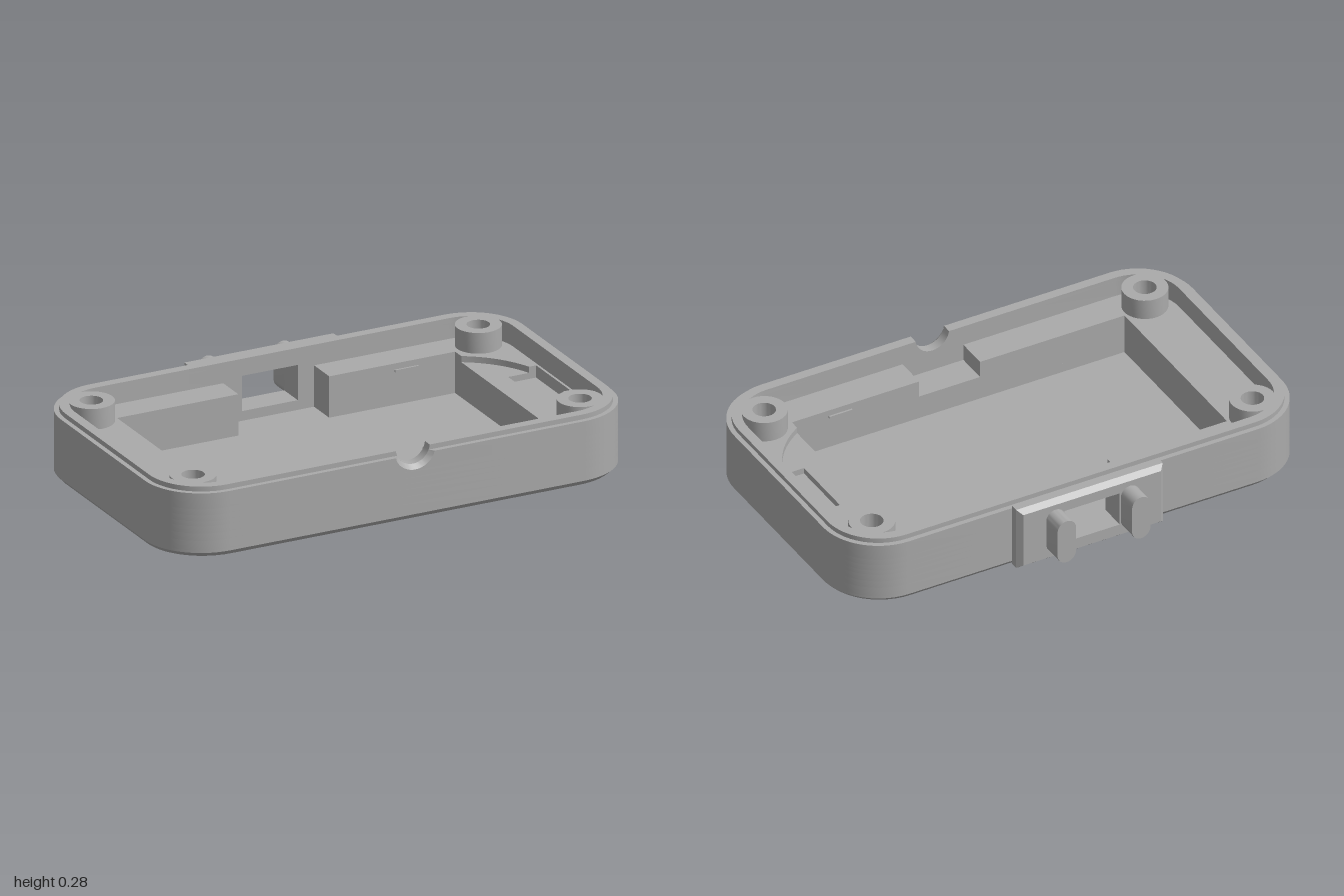
import * as THREE from 'three';
import { toCreasedNormals } from 'three/addons/utils/BufferGeometryUtils.js';

const V = (x, y) => new THREE.Vector2(x, y);
const BACK = -0.52, FRONT = 0.655, RADIUS = 0.24, WALL = 0.06;
const LEDGE = 0.2, SHOULDER = 0.265, TOP = 0.285;
const WIN = { l: -0.13, r: 0.11, y0: 0.07, y1: 0.215 };
const GROOVE = { x: 0.035, y: 0.293, half: 0.11 };
const SCREWS = [[-0.83, -0.355], [0.83, -0.355], [0.83, 0.485], [-0.83, 0.485]];

function arc(cx, cy, r, a0, a1, n = 14) {
  return Array.from({ length: n + 1 }, (_, i) => {
    const a = a0 + (a1 - a0) * i / n;
    return V(cx + r * Math.cos(a), cy + r * Math.sin(a));
  });
}
const circle = (x, y, r) => arc(x, y, r, 0, Math.PI * 2, 32).slice(0, -1);
const rect = (x0, y0, x1, y1) => [V(x0, y0), V(x1, y0), V(x1, y1), V(x0, y1)];

// One side of the rounded outline, from the back middle to the front middle
function halfOutline(side, inset) {
  const r = RADIUS - inset, x = 1 - RADIUS, q = Math.PI / 2;
  return [...arc(x, BACK + RADIUS, r, -q, 0), ...arc(x, FRONT - RADIUS, r, 0, q)]
    .map(p => V(p.x * side, p.y));
}

export function createModel() {
  const group = new THREE.Group();
  const grey = new THREE.MeshStandardMaterial({ color: 0xaaaaaa });

  function add(name, geometry) {
    const mesh = new THREE.Mesh(toCreasedNormals(geometry, 0.5), grey);
    mesh.name = name;
    group.add(mesh);
    return mesh;
  }
  function extrude(points, holes, depth) {
    const shape = new THREE.Shape(points);
    shape.holes = holes.map(h => new THREE.Path(h));
    return new THREE.ExtrudeGeometry(shape, { depth, bevelEnabled: false, steps: 1 });
  }
  // Horizontal slab: the outline lies in x and z
  const slab = (points, holes, y0, y1) =>
    extrude(points, holes, y1 - y0).rotateX(Math.PI / 2).translate(0, y1, 0);
  const block = (name, x0, x1, y0, y1, z0, z1) => add(name,
    new THREE.BoxGeometry(x1 - x0, y1 - y0, z1 - z0)
      .translate((x0 + x1) / 2, (y0 + y1) / 2, (z0 + z1) / 2));
  function moveVertices(geometry, rule) {
    const p = geometry.attributes.position, v = new THREE.Vector3();
    for (let i = 0; i < p.count; i++) {
      rule(v.fromBufferAttribute(p, i));
      p.setXYZ(i, v.x, v.y, v.z);
    }
    return geometry;
  }

  // Battery pocket outline, running from one window edge round to the other
  function pocket(y) {
    const pts = [V(WIN.r, -0.46), V(0.18, -0.46), V(0.18, -0.335), V(0.72, -0.335)];
    if (y > 0.175) {
      pts.push(...arc(0.514, 0.07, 0.41, -1.044, -0.349), V(0.93, -0.07), V(0.93, 0.21),
        ...arc(0.514, 0.07, 0.41, 0.349, 1.044));
    }
    pts.push(V(0.72, 0.465));
    if (y > 0.13) pts.push(V(0.165, 0.465), V(0.165, 0.595), V(-0.1, 0.595), V(-0.1, 0.465));
    pts.push(V(-0.73, 0.465), V(-0.73, -0.335), V(-0.21, -0.335), V(-0.21, -0.46), V(WIN.l, -0.46));
    return pts;
  }

  // Lower body, stacked in slabs between the heights where cut-outs change
  const levels = [0, 0.02, 0.03, WIN.y0, 0.1, 0.13, 0.15, 0.175, LEDGE];
  for (let i = 0; i < levels.length - 1; i++) {
    const y0 = levels[i], y1 = levels[i + 1], y = (y0 + y1) / 2;
    const outline = [V(WIN.r, BACK), ...halfOutline(1, 0), ...halfOutline(-1, 0).reverse(), V(WIN.l, BACK)];
    const holes = SCREWS.map(([x, z]) => circle(x, z, y < 0.1 ? 0.075 : 0.045));
    if (y < 0.15) {
      for (const x of [-0.825, 0.825]) for (const z of [-0.165, 0.295])
        holes.push(rect(x - 0.082, z - 0.082, x + 0.082, z + 0.082));
    }
    if (y > 0.15 && y < 0.175) holes.push(rect(0.81, -0.07, 0.93, 0.21));
    if (y > WIN.y0) outline.push(...pocket(y).reverse());
    else if (y > 0.03) holes.push(pocket(y));
    const geometry = slab(outline, holes, y0, y1);
    if (i === 0) {
      // Chamfer the bottom edge, leaving the holes alone
      moveVertices(geometry, v => {
        const cz = (BACK + FRONT) / 2;
        const dx = Math.max(Math.abs(v.x) - (1 - RADIUS), 0);
        const dz = Math.max(Math.abs(v.z - cz) - ((FRONT - BACK) / 2 - RADIUS), 0);
        if (v.y < 0.001 && Math.hypot(dx, dz) > RADIUS - 0.01) {
          v.x *= 0.983;
          v.z = cz + (v.z - cz) * 0.971;
        }
      });
    }
    add('bodyLayer', geometry);
  }

  // Upper wall and the narrower lip, as two half rings
  for (const side of [1, -1]) {
    const xb = side > 0 ? WIN.r : WIN.l, xf = GROOVE.x + side * GROOVE.half;
    for (const [name, inset, y0, y1] of [['upperWall', 0, LEDGE, SHOULDER], ['lip', 0.02, SHOULDER, TOP]]) {
      const ring = [V(xb, BACK + inset), ...halfOutline(side, inset), V(xf, FRONT - inset),
        V(xf, FRONT - WALL), ...halfOutline(side, WALL).reverse(), V(xb, BACK + WALL)];
      add(name, slab(ring, [], y0, y1));
    }
  }
  block('windowLintel', WIN.l, WIN.r, WIN.y1, SHOULDER, BACK, BACK + WALL);
  block('lintelLip', WIN.l, WIN.r, SHOULDER, TOP, BACK + 0.02, BACK + WALL);

  // Front wall section with a half-round cable groove, flared outside
  function groove(name, top, z0, z1, flare) {
    const r = 0.073, { x, y, half } = GROOVE;
    const a = Math.asin((y - top) / r);
    const pts = [V(x - half, LEDGE), V(x + half, LEDGE), V(x + half, top),
      ...arc(x, y, r, -a, a - Math.PI, 20), V(x - half, top)];
    const geometry = extrude(pts, [], z1 - z0).translate(0, 0, z0);
    add(name, moveVertices(geometry, v => {
      const d = Math.hypot(v.x - x, v.y - y);
      if (v.z > z1 - 0.001 && d < r + 0.002) {
        v.x = x + (v.x - x) * flare;
        if (v.y < top - 0.001) v.y = y + (v.y - y) * flare;
      }
    }));
  }
  groove('cableGroove', TOP, FRONT - WALL, FRONT - 0.02, 1);
  groove('cableGrooveFlare', SHOULDER, FRONT - 0.02, FRONT, 1.23);

  // Screw posts
  for (const [x, z] of SCREWS)
    add('screwPost', slab(circle(x, z, 0.09), [circle(x, z, 0.045)], LEDGE, TOP));

  // Small catches on the long pocket walls
  for (const [z0, z1] of [[-0.335, -0.327], [0.457, 0.465]])
    block('pocketCatch', 0.46, 0.56, 0.165, 0.175, z0, z1);

  // Raised frame round the back window, chamfered on its outer edge
  const frame = rect(-0.33, 0.005, 0.31, 0.275);
  const opening = rect(WIN.l, WIN.y0, WIN.r, WIN.y1);
  add('portFrame', extrude(frame, [opening], 0.03).translate(0, 0, -0.55));
  add('portFrameEdge', moveVertices(extrude(frame, [opening], 0.022).translate(0, 0, -0.572), v => {
    if (v.z < -0.571 && Math.abs(v.x) > 0.25) {
      v.x -= Math.sign(v.x) * 0.02;
      v.y += v.y > 0.14 ? -0.018 : 0.018;
    }
  }));

  // Two round-ended pegs beside the window
  for (const x of [-0.175, 0.15]) {
    const pts = [...arc(x, 0.085, 0.04, Math.PI, Math.PI * 2), ...arc(x, 0.195, 0.04, 0, Math.PI)];
    add('peg', extrude(pts, [], 0.09).translate(0, 0, -0.66));
  }
  return group;
}
